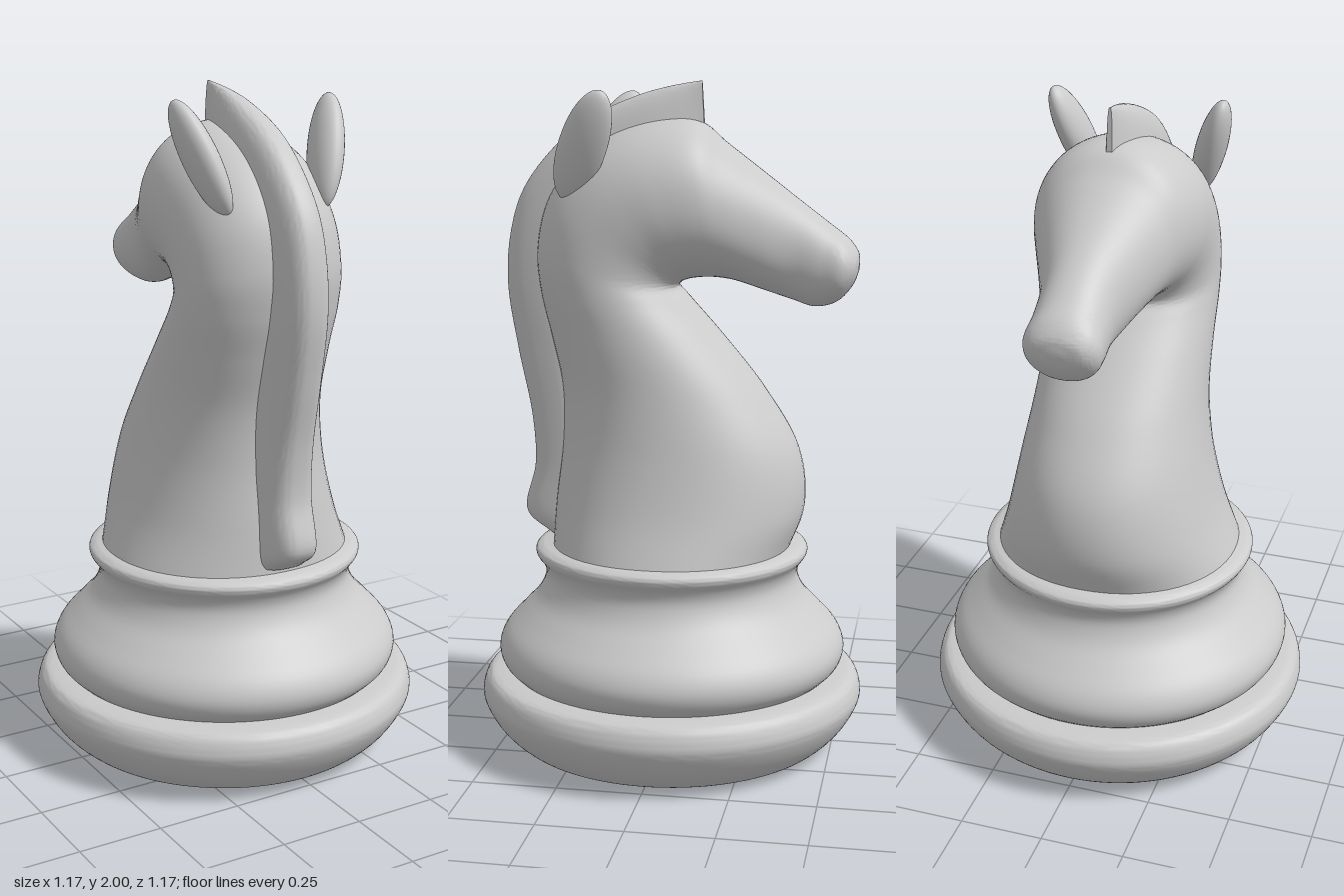
import * as THREE from 'three';
import { toCreasedNormals } from 'three/addons/utils/BufferGeometryUtils.js';

const material = new THREE.MeshStandardMaterial({ color: 0xcccccc });

function addMesh(parent, name, geometry) {
  const mesh = new THREE.Mesh(geometry, material);
  mesh.name = name;
  parent.add(mesh);
  return mesh;
}

// Loft through sections [backZ, backY, frontZ, frontY, halfWidth].
// power squares the ring off, flare widens it toward the front point.
function loft(sections, { steps = 100, around = 56, power = 2, flare = 0 }) {
  const back = new THREE.CatmullRomCurve3(sections.map(s => new THREE.Vector3(s[4], s[1], s[0])));
  const front = new THREE.CatmullRomCurve3(sections.map(s => new THREE.Vector3(0, s[3], s[2])));
  const positions = [], index = [];
  const round = v => Math.sign(v) * Math.pow(Math.abs(v), 2 / power);
  // the first and last rings are collapsed to close the ends
  for (let i = -1; i <= steps + 1; i++) {
    const t = THREE.MathUtils.clamp(i / steps, 0, 1);
    const size = i < 0 || i > steps ? 0 : 1;
    const b = back.getPoint(t), f = front.getPoint(t);
    for (let j = 0; j < around; j++) {
      const a = (j / around) * Math.PI * 2;
      const c = round(Math.cos(a)) * size, s = round(Math.sin(a)) * size;
      positions.push(
        b.x * s * (1 + flare * c),
        (b.y + f.y) / 2 + c * (f.y - b.y) / 2,
        (b.z + f.z) / 2 + c * (f.z - b.z) / 2);
    }
  }
  for (let i = 0; i < steps + 2; i++) {
    for (let j = 0; j < around; j++) {
      const k = (j + 1) % around;
      const p = i * around + j, q = i * around + k;
      const r = p + around, s = q + around;
      index.push(p, r, q, q, r, s);
    }
  }
  const geometry = new THREE.BufferGeometry();
  geometry.setAttribute('position', new THREE.Float32BufferAttribute(positions, 3));
  geometry.setIndex(index);
  return toCreasedNormals(geometry, 0.8);
}

// Turned moulding: a smooth profile between two flat faces
function turned(points) {
  const pts = points.map(([r, y]) => new THREE.Vector2(r, y));
  const profile = new THREE.SplineCurve(pts).getPoints(36);
  profile.unshift(new THREE.Vector2(0, pts[0].y));
  profile.push(new THREE.Vector2(0, pts[pts.length - 1].y));
  return toCreasedNormals(new THREE.LatheGeometry(profile, 96), 0.7);
}

export function createModel() {
  const model = new THREE.Group();
  model.name = 'chessKnight';

  // Base mouldings
  addMesh(model, 'foot', turned([
    [0.43, 0], [0.48, 0.015], [0.54, 0.07], [0.58, 0.14], [0.58, 0.185], [0.56, 0.22], [0.52, 0.23]]));
  addMesh(model, 'pedestal', turned([
    [0.49, 0.228], [0.52, 0.26], [0.53, 0.305], [0.51, 0.355], [0.46, 0.41], [0.41, 0.465],
    [0.386, 0.52], [0.392, 0.56], [0.413, 0.59], [0.412, 0.61], [0.39, 0.622]]));

  // Neck, skull and muzzle in one sweep
  addMesh(model, 'neckAndHead', loft([
    [0.36, 0.61, -0.36, 0.61, 0.375],
    [0.35, 0.76, -0.405, 0.74, 0.325],
    [0.33, 0.94, -0.388, 0.91, 0.283],
    [0.33, 1.10, -0.285, 1.09, 0.257],
    [0.36, 1.25, -0.155, 1.25, 0.249],
    [0.39, 1.38, -0.055, 1.36, 0.248],
    [0.40, 1.51, -0.02, 1.40, 0.247],
    [0.36, 1.67, -0.03, 1.413, 0.247],
    [0.24, 1.81, -0.05, 1.422, 0.247],
    [0.08, 1.88, -0.08, 1.428, 0.242],
    [-0.08, 1.885, -0.13, 1.43, 0.222],
    [-0.16, 1.825, -0.19, 1.422, 0.193],
    [-0.27, 1.742, -0.27, 1.397, 0.15],
    [-0.38, 1.658, -0.36, 1.368, 0.112],
    [-0.47, 1.59, -0.43, 1.348, 0.108],
    [-0.525, 1.547, -0.495, 1.365, 0.108],
    [-0.552, 1.51, -0.54, 1.415, 0.075],
    [-0.557, 1.48, -0.555, 1.455, 0.02],
  ], { steps: 136, around: 64, power: 2.1 }));

  // Mane ridge from the nape to the forelock
  addMesh(model, 'mane', loft([
    [0.37, 0.635, 0.27, 0.65, 0.085],
    [0.45, 0.70, 0.27, 0.71, 0.08],
    [0.422, 0.85, 0.26, 0.85, 0.078],
    [0.43, 1.0, 0.26, 1.0, 0.076],
    [0.47, 1.2, 0.28, 1.2, 0.074],
    [0.50, 1.4, 0.32, 1.38, 0.073],
    [0.49, 1.55, 0.31, 1.49, 0.073],
    [0.45, 1.68, 0.27, 1.57, 0.073],
    [0.36, 1.80, 0.20, 1.65, 0.072],
    [0.25, 1.89, 0.13, 1.72, 0.068],
    [0.10, 1.958, 0.04, 1.78, 0.054],
    [0.0, 1.985, -0.03, 1.80, 0.035],
    [-0.09, 2.0, -0.10, 1.82, 0.008],
  ], { steps: 90, around: 48, power: 3, flare: 0.22 }));

  // Leaf-shaped ears leaning outward and forward
  for (const side of [1, -1]) {
    const geometry = new THREE.SphereGeometry(1, 32, 24);
    geometry.scale(0.045, 0.175, 0.07);
    const ear = addMesh(model, side > 0 ? 'leftEar' : 'rightEar', geometry);
    ear.position.set(side * 0.205, 1.815, 0.222);
    ear.quaternion.setFromUnitVectors(
      new THREE.Vector3(0, 1, 0), new THREE.Vector3(side * 0.09, 0.28, -0.12).normalize());
  }
  return model;
}
